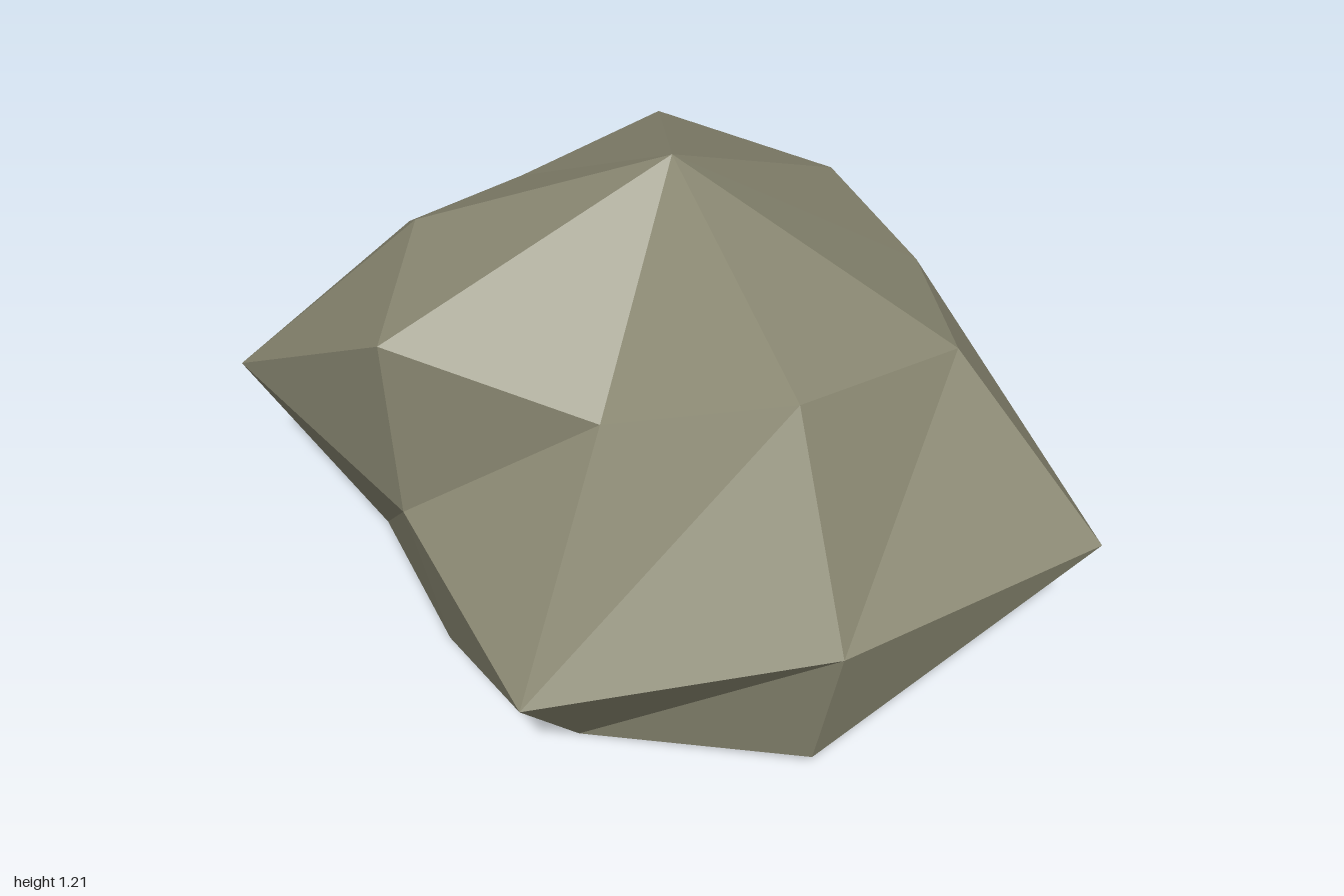
import * as THREE from 'three';

// Cross-sections of the boulder, top to bottom: [radius, height] every 40 degrees
const SIDES = 9;
const CENTRE = { x: 0.06, z: 0.02 };
const RINGS = [
  // shoulder
  [[0.63, 0.84], [0.737, 0.9], [0.71, 0.97], [0.53, 0.8], [0.78, 0.95], [0.63, 0.98], [0.575, 0.91], [0.73, 0.94], [0.71, 0.86]],
  // waist
  [[0.72, 0.54], [1.135, 0.47], [0.985, 0.47], [1.07, 0.42], [0.755, 0.46], [1.13, 0.5], [1.115, 0.53], [0.79, 0.49], [0.775, 0.41]],
  // foot
  [[0.93, 0], [0.72, 0.03], [0.875, 0.06], [0.715, 0], [0.66, 0], [0.777, 0], [0.82, 0.04], [1.03, 0.06], [0.78, 0]],
];

function rockGeometry() {
  const positions = [];
  const point = (ring, i) => {
    const [r, y] = RINGS[ring][i % SIDES];
    const a = (i * 2 * Math.PI) / SIDES;
    return [CENTRE.x + r * Math.cos(a), y, CENTRE.z + r * Math.sin(a)];
  };
  const tri = (a, b, c) => positions.push(...a, ...b, ...c);
  const peak = [CENTRE.x, 1.21, CENTRE.z];
  const base = [CENTRE.x, 0, CENTRE.z];
  const last = RINGS.length - 1;

  for (let i = 0; i < SIDES; i++) {
    // crown fan
    tri(peak, point(0, i + 1), point(0, i));
    // side facets
    for (let k = 0; k < last; k++) {
      tri(point(k, i), point(k + 1, i + 1), point(k + 1, i));
      tri(point(k, i), point(k, i + 1), point(k + 1, i + 1));
    }
    // underside fan
    tri(base, point(last, i), point(last, i + 1));
  }

  // unshared corners give flat facet normals
  const geometry = new THREE.BufferGeometry();
  geometry.setAttribute('position', new THREE.Float32BufferAttribute(positions, 3));
  geometry.computeVertexNormals();
  return geometry;
}

export function createModel() {
  const stone = new THREE.MeshStandardMaterial({ color: 0x8b8973 });
  stone.name = 'stone';
  stone.flatShading = true;

  const rock = new THREE.Mesh(rockGeometry(), stone);
  rock.name = 'rock';

  const model = new THREE.Group();
  model.name = 'boulder';
  model.add(rock);
  return model;
}
